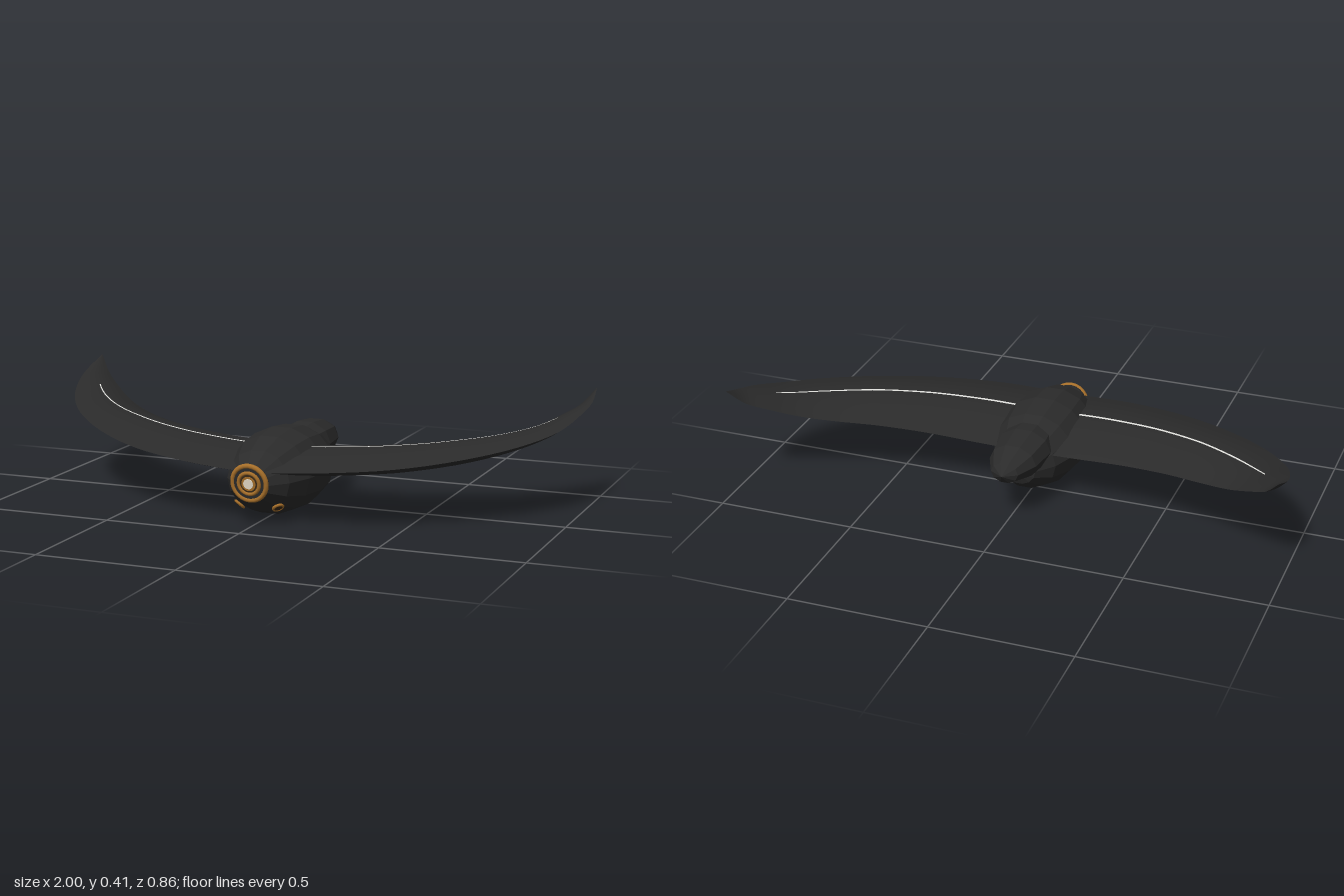
import * as THREE from 'three';

const mat = (name, color, extra = {}) => {
  const m = new THREE.MeshStandardMaterial({ color, ...extra });
  m.name = name;
  return m;
};

export function createModel() {
  const root = new THREE.Group();
  root.name = 'crescentGlider';
  const hull = mat('charcoalHull', 0x2b2b2b, { flatShading: true });
  const skin = mat('charcoalWing', 0x2b2b2b);
  const gold = mat('bronze', 0xa8702a);
  const dark = mat('darkBrown', 0x3a2a18);
  const pale = mat('paleLine', 0xe4e4e0, { side: THREE.DoubleSide });
  const glow = mat('lensCore', 0xf4ead6);

  const add = (name, geometry, material, parent = root) => {
    const mesh = new THREE.Mesh(geometry, material);
    mesh.name = name;
    parent.add(mesh);
    return mesh;
  };

  // Faceted fuselage, open at the nose where the collar sits
  const body = new THREE.SphereGeometry(1, 14, 7, 0, Math.PI * 2, Math.PI / 8, Math.PI * 7 / 8);
  body.rotateX(Math.PI / 2).scale(0.165, 0.152, 0.3).translate(0, 0.15, 0.12);
  add('fuselage', body, hull);

  // Tail pod
  const tail = new THREE.SphereGeometry(1, 10, 6);
  tail.rotateX(Math.PI / 2).scale(0.1, 0.077, 0.227).translate(0, 0.205, -0.1);
  add('tailPod', tail, hull);

  // Wing edges from root to tip, and half thickness at the same stations
  const curve = (pts) => new THREE.CatmullRomCurve3(pts.map((p) => new THREE.Vector3(...p)));
  const leading = curve([
    [0, 0.19, 0.4], [0.25, 0.205, 0.375], [0.48, 0.222, 0.307], [0.68, 0.247, 0.19], [0.84, 0.277, 0.045],
    [0.94, 0.31, -0.1], [0.985, 0.35, -0.23], [1, 0.378, -0.33], [0.992, 0.415, -0.43],
  ]);
  const trailing = curve([
    [0, 0.19, -0.095], [0.19, 0.195, -0.097], [0.37, 0.208, -0.112], [0.54, 0.225, -0.15], [0.68, 0.245, -0.207],
    [0.79, 0.275, -0.27], [0.88, 0.318, -0.335], [0.94, 0.355, -0.385], [0.992, 0.415, -0.43],
  ]);
  const thickness = [0.043, 0.045, 0.044, 0.04, 0.032, 0.024, 0.015, 0.008, 0];
  const halfThick = (t) => {
    const k = Math.min(t * 8, 7.9999), i = Math.floor(k);
    return THREE.MathUtils.lerp(thickness[i], thickness[i + 1], k - i);
  };

  // Patch of the lens-shaped wing: face is 1 for the top, -1 for the underside
  const wingPatch = (side, face, t0, t1, u0, u1, nt, nu, lift = 0) => {
    const pos = [], idx = [];
    for (let i = 0; i <= nt; i++) {
      const t = t0 + (t1 - t0) * i / nt;
      const a = leading.getPoint(t), b = trailing.getPoint(t);
      for (let j = 0; j <= nu; j++) {
        const u = u0 + (u1 - u0) * j / nu;
        const p = a.clone().lerp(b, u);
        pos.push(p.x * side, p.y + face * (halfThick(t) * Math.sin(Math.PI * u) + lift), p.z);
        if (i < nt && j < nu) {
          const q = i * (nu + 1) + j, r = q + nu + 1;
          if (side * face > 0) idx.push(q, r, q + 1, r, r + 1, q + 1);
          else idx.push(q, q + 1, r, r, q + 1, r + 1);
        }
      }
    }
    const g = new THREE.BufferGeometry();
    g.setAttribute('position', new THREE.Float32BufferAttribute(pos, 3));
    g.setIndex(idx);
    g.computeVertexNormals();
    return g;
  };

  for (const side of [1, -1]) {
    const wing = new THREE.Group();
    wing.name = side > 0 ? 'leftWing' : 'rightWing';
    root.add(wing);
    add('wingTop', wingPatch(side, 1, 0, 1, 0, 1, 32, 12), skin, wing);
    add('wingUnderside', wingPatch(side, -1, 0, 1, 0, 1, 32, 12), skin, wing);
    // Pale line along the middle of the upper surface
    add('wingLine', wingPatch(side, 1, 0.06, 0.685, 0.488, 0.512, 32, 1, 0.003), pale, wing);

    // Small port under the nose, set square to the hull
    const port = new THREE.Group();
    port.name = side > 0 ? 'leftPort' : 'rightPort';
    port.position.set(0.072 * side, 0.06, 0.328);
    port.lookAt(port.position.clone().add(new THREE.Vector3(2.57 * side, -3.8, 2.33)));
    root.add(port);
    add('portRim', new THREE.TorusGeometry(0.018, 0.005, 6, 14), gold, port);
    add('portGlass', new THREE.CylinderGeometry(0.016, 0.016, 0.006, 14).rotateX(Math.PI / 2), dark, port);
  }

  // Nose lens: concentric rings, tipped slightly downward
  const nose = new THREE.Group();
  nose.name = 'noseLens';
  nose.position.set(0, 0.157, 0.409);
  nose.rotation.x = 0.14;
  root.add(nose);
  const disc = (name, r, depth, z, material) =>
    add(name, new THREE.CylinderGeometry(r, r, depth, 20).rotateX(Math.PI / 2).translate(0, 0, z), material, nose);
  disc('collar', 0.064, 0.022, -0.006, hull);
  add('outerRing', new THREE.TorusGeometry(0.062, 0.009, 8, 24), gold, nose);
  add('innerRing', new THREE.TorusGeometry(0.038, 0.007, 8, 24).translate(0, 0, 0.005), gold, nose);
  disc('lensPlate', 0.034, 0.006, 0.004, dark);
  disc('lensRim', 0.026, 0.006, 0.006, gold);
  disc('lensCore', 0.018, 0.006, 0.009, glow);

  return root;
}
